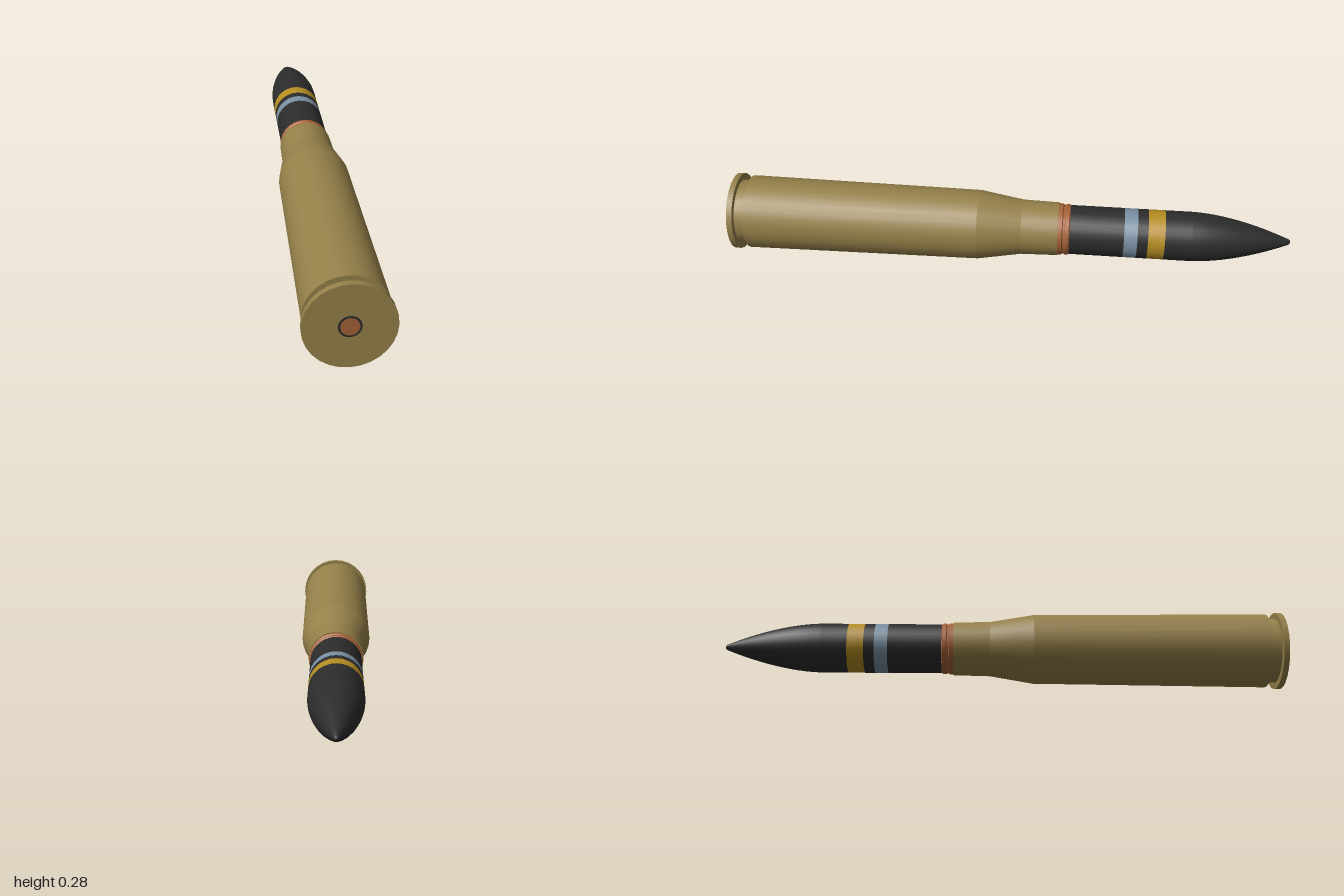
import * as THREE from 'three';
import { mergeGeometries } from 'three/addons/utils/BufferGeometryUtils.js';

const SIDES = 28;
const RADIUS = 0.138;

const material = (name, color) => {
  const m = new THREE.MeshStandardMaterial({ color });
  m.name = name;
  return m;
};

export function createModel() {
  const brass = material('brass', 0x96814a);
  const copper = material('copper', 0xa56238);
  const black = material('black', 0x2c2c2c);
  const blue = material('greyBlue', 0x7a90a3);
  const yellow = material('yellow', 0xb68e22);

  const model = new THREE.Group();
  model.name = 'cartridge';

  // Turned part along z, from [radius, z] points running towards +z.
  // Hard parts get a crease at every profile point.
  const turned = (name, mat, points, smooth = false) => {
    const pts = points.map(([r, z]) => new THREE.Vector2(r, z));
    const runs = smooth ? [pts] : pts.slice(1).map((p, i) => [pts[i], p]);
    const geometry = mergeGeometries(runs.map((run) => new THREE.LatheGeometry(run, SIDES)));
    geometry.rotateX(Math.PI / 2);
    const mesh = new THREE.Mesh(geometry, mat);
    mesh.name = name;
    mesh.position.y = RADIUS;
    model.add(mesh);
  };

  // Brass case: mouth, neck, shoulder, tapered body, extractor groove, rim
  turned('case', brass, [
    [0.086, -0.18], [0.095, -0.18], [0.098, -0.05], [0.124, 0.105], [0.132, 0.943],
    [0.115, 0.943], [0.115, 0.978], [RADIUS, 0.978], [RADIUS, 0.998], [0.035, 0.998],
  ]);

  // Primer set in the base
  turned('primerRing', black, [[0.035, 0.998], [0.028, 0.998]]);
  turned('primer', copper, [[0.028, 0.998], [0.028, 1], [0, 1]]);

  // Driving band with a shallow groove
  turned('drivingBand', copper, [
    [0.087, -0.222], [0.091, -0.218], [0.091, -0.206], [0.088, -0.203],
    [0.088, -0.197], [0.092, -0.194], [0.092, -0.18], [0.086, -0.18],
  ]);

  // Projectile body, split into its painted bands
  const bands = [
    ['bodyRear', black, -0.413, -0.222],
    ['blueBand', blue, -0.46, -0.413],
    ['bodyMiddle', black, -0.497, -0.46],
    ['yellowBand', yellow, -0.556, -0.497],
    ['bodyFront', black, -0.65, -0.556],
  ];
  for (const [name, mat, z0, z1] of bands) turned(name, mat, [[0.088, z0], [0.088, z1]]);

  // Curved nose with a small rounded tip
  const nose = [[0, -1], [0.005, -0.998]];
  for (let i = 12; i >= 0; i--) {
    const t = i / 12;
    nose.push([0.088 - 0.078 * t ** 1.75, -0.65 - 0.343 * t]);
  }
  turned('nose', black, nose, true);

  return model;
}
